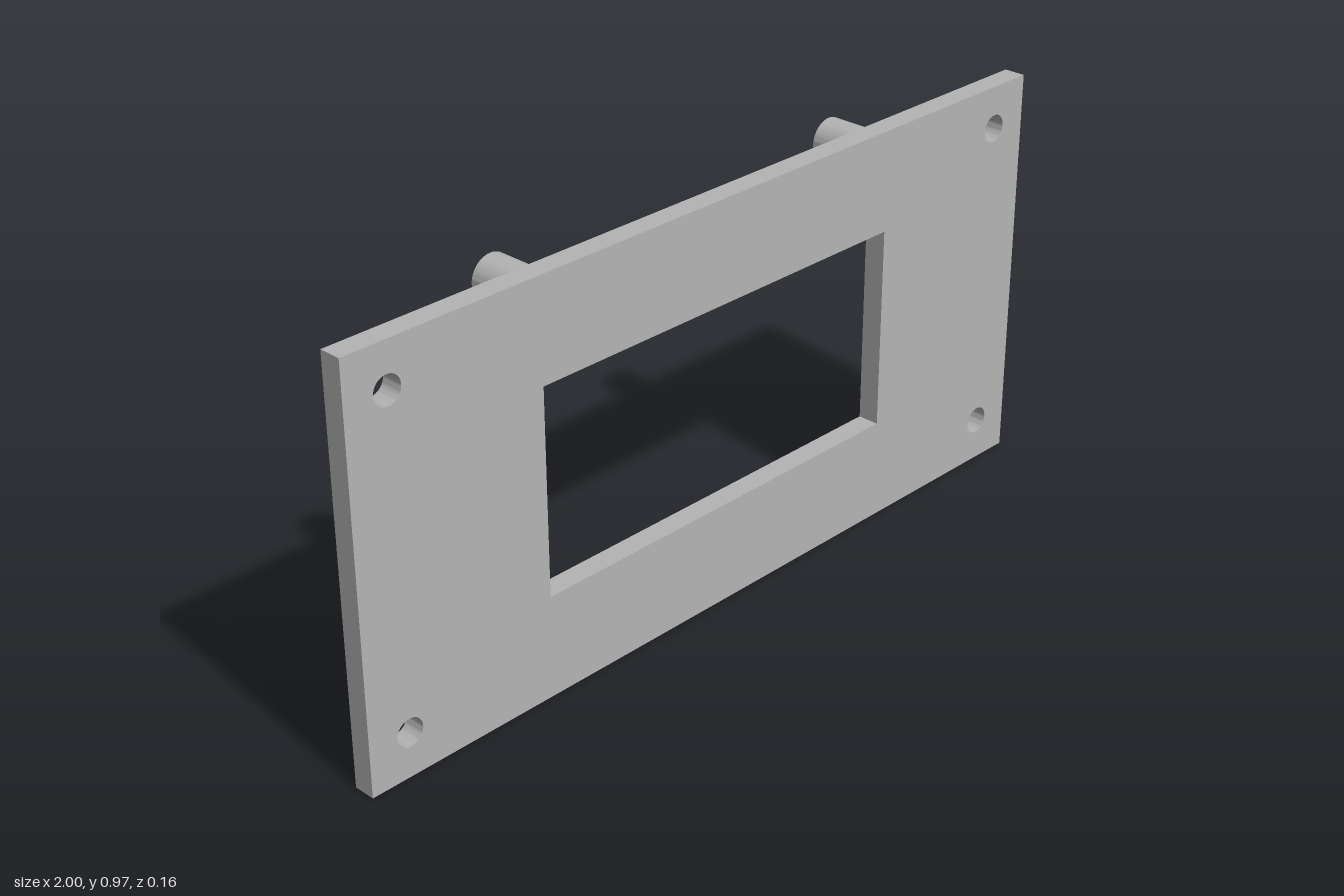
import * as THREE from 'three';
import { toCreasedNormals } from 'three/addons/utils/BufferGeometryUtils.js';

const HEIGHT = 0.966, BACK = 0.027, FRONT = 0.079, REAR = -0.078;

function rectangle(target, x0, y0, x1, y1) {
  target.moveTo(x0, y0);
  target.lineTo(x1, y0);
  target.lineTo(x1, y1);
  target.lineTo(x0, y1);
  target.closePath();
  return target;
}

function circle(target, x, y, r) {
  target.absarc(x, y, r, 0, Math.PI * 2, false);
  return target;
}

// Extrudes a shape along z with crisp rims and smooth round walls
function extrude(shape, z0, z1) {
  const geometry = new THREE.ExtrudeGeometry(shape, {
    depth: z1 - z0, bevelEnabled: false, curveSegments: 24,
  });
  geometry.translate(0, 0, z0);
  return toCreasedNormals(geometry, Math.PI / 6);
}

export function createModel() {
  const group = new THREE.Group();
  group.name = 'displayBezel';
  const grey = new THREE.MeshStandardMaterial({ color: 0xb4b4b4 });
  grey.name = 'grey';

  // Face plate with a display window and four corner screw holes
  const plate = rectangle(new THREE.Shape(), -1, 0, 1, HEIGHT);
  plate.holes.push(rectangle(new THREE.Path(), -0.515, 0.243, 0.515, 0.727));
  for (const x of [-0.897, 0.897]) {
    for (const y of [0.104, 0.863]) {
      plate.holes.push(circle(new THREE.Path(), x, y, 0.033));
    }
  }
  const facePlate = new THREE.Mesh(extrude(plate, BACK, FRONT), grey);
  facePlate.name = 'facePlate';
  group.add(facePlate);

  // Hollow standoffs on the back, bored down to the plate
  const ring = circle(new THREE.Shape(), 0, 0, 0.051);
  ring.holes.push(circle(new THREE.Path(), 0, 0, 0.021));
  const standoffGeometry = extrude(ring, REAR, BACK);
  for (const [side, x] of [['left', 0.499], ['right', -0.501]]) {
    for (const [level, y] of [['Lower', 0.061], ['Upper', 0.908]]) {
      const standoff = new THREE.Mesh(standoffGeometry, grey);
      standoff.name = `${side}${level}Standoff`;
      standoff.position.set(x, y, 0);
      group.add(standoff);
    }
  }
  return group;
}
